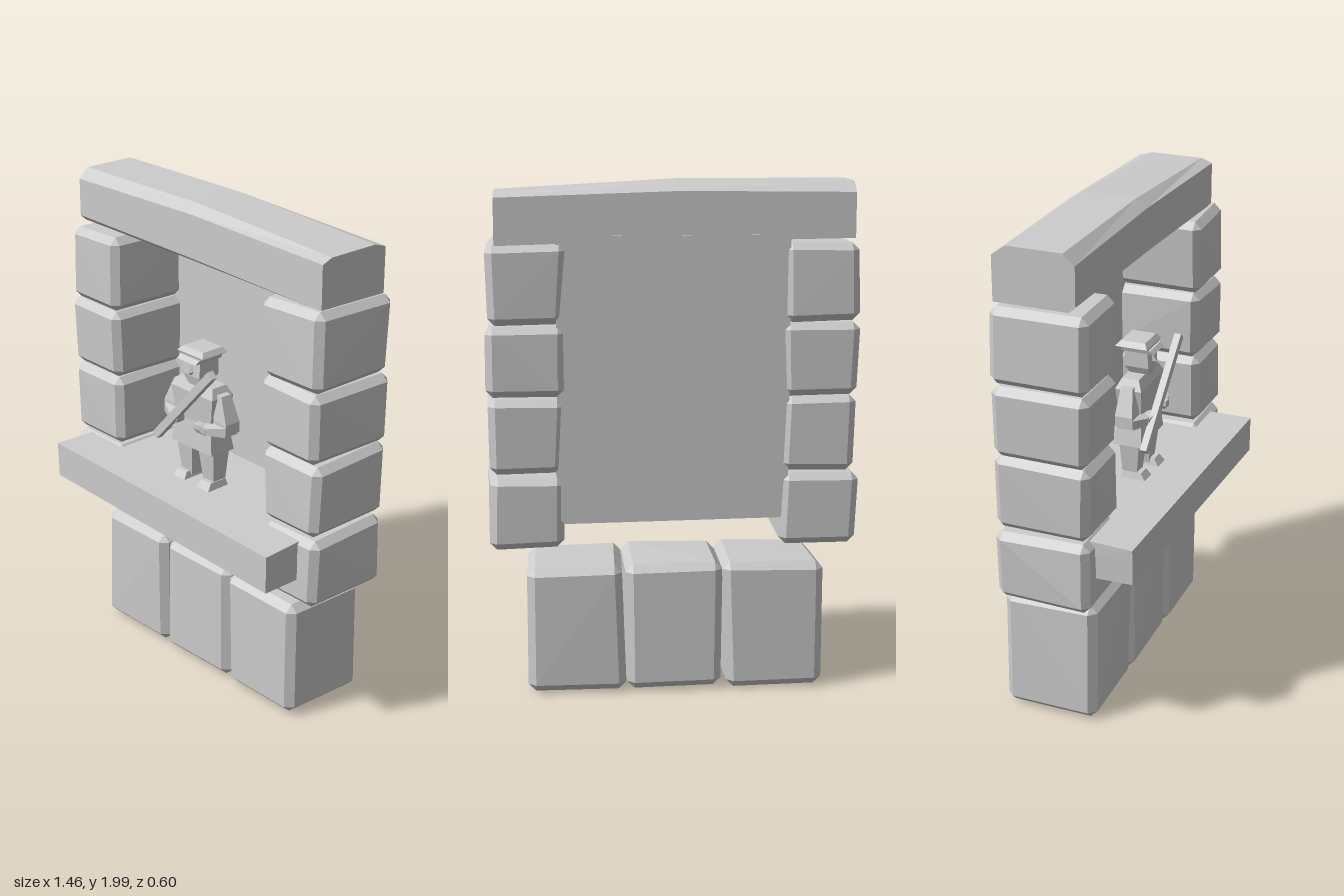
import * as THREE from 'three';
import { ConvexGeometry } from 'three/addons/geometries/ConvexGeometry.js';

const V = (x, y, z) => new THREE.Vector3(x, y, z);
const stone = new THREE.MeshStandardMaterial({ color: 0xcccccc });
stone.name = 'grey stone';

function hull(name, points) {
  const mesh = new THREE.Mesh(new ConvexGeometry(points), stone);
  mesh.name = name;
  return mesh;
}

// Rectangle corners at height y
const rect = (x0, x1, y, z0, z1) => [V(x0, y, z0), V(x1, y, z0), V(x1, y, z1), V(x0, y, z1)];
const block = (name, x0, x1, y0, y1, z0, z1) =>
  hull(name, [...rect(x0, x1, y0, z0, z1), ...rect(x0, x1, y1, z0, z1)]);

// Tapered limb between two points with square ends
function limb(name, a, b, ra, rb) {
  const pts = [];
  for (const [p, r] of [[a, ra], [b, rb]])
    for (const sx of [-1, 1]) for (const sy of [-1, 1]) for (const sz of [-1, 1])
      pts.push(V(p[0] + sx * r, p[1] + sy * r * 0.6, p[2] + sz * r));
  return hull(name, pts);
}

// Rough-cut block: chamfered edges, corners drawn in a little at random
let seed = 7;
const rnd = () => (seed = (seed * 16807) % 2147483647) / 2147483647;
function roughBlock(name, [x0, x1, y0, y1], z0, z1, c = 0.028) {
  const pts = [];
  for (const sx of [0, 1]) for (const sy of [0, 1]) for (const sz of [0, 1]) {
    const dx = sx ? -1 : 1, dy = sy ? -1 : 1, dz = sz ? -1 : 1;
    const x = (sx ? x1 : x0) + dx * rnd() * 0.018;
    const y = (sy ? y1 : y0) + dy * rnd() * 0.01;
    const z = (sz ? z1 : z0) + dz * rnd() * 0.01;
    pts.push(V(x, y + dy * c, z + dz * c), V(x + dx * c, y, z + dz * c), V(x + dx * c, y + dy * c, z));
  }
  return hull(name, pts);
}

// Closed solid through matching cross-sections along x
function loft(name, sections) {
  const pos = [];
  const n = sections[0].length;
  const tri = (...p) => p.forEach((v) => pos.push(v.x, v.y, v.z));
  for (let s = 0; s < sections.length - 1; s++)
    for (let i = 0; i < n; i++) {
      const j = (i + 1) % n, A = sections[s], B = sections[s + 1];
      tri(A[i], B[i], B[j]);
      tri(A[i], B[j], A[j]);
    }
  const F = sections[0], L = sections[sections.length - 1];
  for (let i = 1; i < n - 1; i++) {
    tri(F[0], F[i], F[i + 1]);
    tri(L[0], L[i + 1], L[i]);
  }
  const g = new THREE.BufferGeometry();
  g.setAttribute('position', new THREE.Float32BufferAttribute(pos, 3));
  g.computeVertexNormals();
  const mesh = new THREE.Mesh(g, stone);
  mesh.name = name;
  return mesh;
}

function makeFigure() {
  const g = new THREE.Group();
  g.name = 'figure';
  // Coat: skirt, chest and shoulders
  g.add(hull('coatSkirt', [...rect(-0.125, 0.115, 1.01, -0.02, 0.1), ...rect(-0.1, 0.1, 1.13, 0, 0.09)]));
  g.add(hull('coatChest', [...rect(-0.1, 0.1, 1.12, 0, 0.09), ...rect(-0.125, 0.12, 1.25, -0.01, 0.1),
    ...rect(-0.1, 0.1, 1.29, 0.01, 0.08)]));
  // Head, nose and flat cap
  g.add(block('neck', -0.03, 0.025, 1.27, 1.31, 0.02, 0.07));
  g.add(hull('head', [...rect(-0.03, 0.025, 1.28, 0.02, 0.09), ...rect(-0.05, 0.045, 1.32, 0, 0.1),
    ...rect(-0.05, 0.045, 1.39, 0, 0.095)]));
  g.add(hull('nose', [V(0, 1.37, 0.095), V(-0.014, 1.34, 0.095), V(0.014, 1.34, 0.095), V(0, 1.335, 0.118), V(0, 1.32, 0.095)]));
  g.add(hull('capBrim', [...rect(-0.055, 0.05, 1.385, -0.01, 0.125), ...rect(-0.06, 0.055, 1.4, -0.01, 0.11)]));
  g.add(hull('capCrown', [...rect(-0.05, 0.045, 1.395, -0.01, 0.1), ...rect(-0.08, 0.07, 1.41, -0.03, 0.105),
    ...rect(-0.06, 0.055, 1.43, -0.01, 0.09)]));
  // Arms, legs and boots
  for (const s of [-1, 1]) {
    g.add(limb('upperArm', [s * 0.115, 1.25, 0.045], [s * 0.148, 1.14, 0.05], 0.025, 0.036));
    g.add(limb('forearm', [s * 0.148, 1.13, 0.055], [s * 0.09, 1.125, 0.1], 0.033, 0.024));
    g.add(limb('hand', [s * 0.085, 1.12, 0.105], [s * 0.065, 1.135, 0.12], 0.022, 0.017));
    g.add(hull('leg', [...rect(s * 0.035, s * 0.095, 0.87, 0.01, 0.07), ...rect(s * 0.018, s * 0.11, 1.02, 0, 0.085)]));
    g.add(hull('boot', [...rect(s * 0.035, s * 0.11, 0.85, 0.005, 0.115), ...rect(s * 0.045, s * 0.1, 0.885, 0.01, 0.09)]));
  }
  // Long staff held across the chest
  const staff = new THREE.Mesh(new THREE.BoxGeometry(0.5, 0.034, 0.028), stone);
  staff.name = 'staff';
  staff.position.set(-0.003, 1.205, 0.138);
  staff.rotation.set(0, -0.03, 0.815);
  g.add(staff);
  return g;
}

export function createModel() {
  const model = new THREE.Group();
  model.name = 'stoneNiche';

  // Pillar stones, x0 x1 y0 y1
  const pillarStones = [
    [-0.722, -0.415, 1.46, 1.775], [-0.732, -0.42, 1.17, 1.465], [-0.722, -0.415, 0.875, 1.18], [-0.735, -0.412, 0.578, 0.87],
    [0.41, 0.725, 1.455, 1.775], [0.408, 0.725, 1.175, 1.465], [0.418, 0.73, 0.875, 1.18], [0.418, 0.727, 0.578, 0.87],
  ];
  for (const p of pillarStones) model.add(roughBlock('pillarStone', p, -0.262, 0.135));

  // Base stones
  const baseStones = [[-0.59, -0.188, 0.005, 0.525], [-0.195, 0.195, 0.008, 0.527], [0.188, 0.585, 0.01, 0.518]];
  for (const b of baseStones) model.add(roughBlock('baseStone', b, -0.3, 0.096, 0.03));

  // Lintel: chamfered beam sagging towards one end
  const section = (x, top, bevel, frontLow, low) => [
    V(x, low, -0.235), V(x, low, 0.06), V(x, frontLow, 0.085), V(x, bevel, 0.085),
    V(x, top, 0.04), V(x, top, -0.18), V(x, bevel, -0.235),
  ];
  model.add(loft('lintel', [
    section(-0.7, 2, 1.96, 1.808, 1.785),
    section(-0.03, 2, 1.967, 1.795, 1.776),
    section(0.682, 1.962, 1.945, 1.772, 1.764),
  ]));

  // Back panel and slightly skewed shelf
  model.add(block('backPanel', -0.45, 0.45, 0.69, 1.8, -0.238, -0.205));
  model.add(hull('shelf', [
    V(-0.65, 0.715, 0.28), V(0.643, 0.695, 0.3), V(0.643, 0.847, 0.3), V(-0.655, 0.862, 0.28),
    V(-0.63, 0.69, -0.228), V(0.62, 0.675, -0.228), V(0.62, 0.855, -0.228), V(-0.63, 0.864, -0.228),
  ]));

  model.add(makeFigure());
  return model;
}
